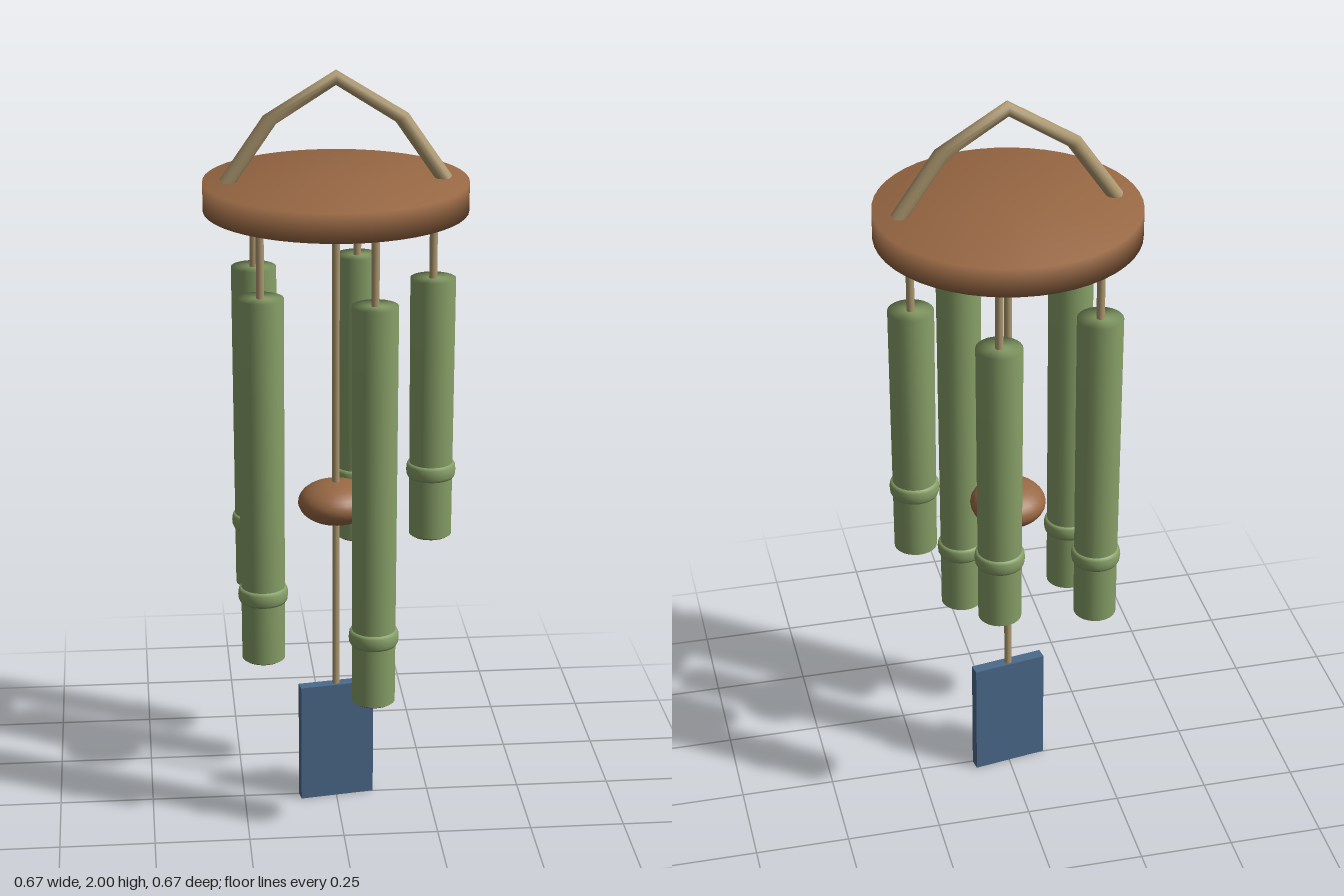
import * as THREE from 'three';
import { mergeVertices } from 'three/addons/utils/BufferGeometryUtils.js';

const material = (name, color) => {
  const m = new THREE.MeshStandardMaterial({ color });
  m.name = name;
  return m;
};

// Closed cylinder between two heights, with normals blended softly over its rims
function softCylinder(rTop, rBottom, yTop, yBottom, sides) {
  const g = new THREE.CylinderGeometry(rTop, rBottom, yTop - yBottom, sides);
  g.translate(0, (yTop + yBottom) / 2, 0);
  g.deleteAttribute('normal');
  g.deleteAttribute('uv');
  const soft = mergeVertices(g);
  soft.computeVertexNormals();
  return soft;
}

export function createModel() {
  const wood = material('wood', 0x986844);
  const bamboo = material('bamboo', 0x879f67);
  const rope = material('rope', 0xae9970);
  const hollow = material('dark hollow', 0x5a3028);
  const blue = material('blue sail', 0x4b6a8b);

  const model = new THREE.Group();
  model.name = 'windChime';
  const add = (parent, name, geometry, mat) => {
    const mesh = new THREE.Mesh(geometry, mat);
    mesh.name = name;
    parent.add(mesh);
    return mesh;
  };

  // Round top board
  add(model, 'topBoard', softCylinder(0.337, 0.337, 1.72, 1.645, 48), wood);

  // Bent hanger: four straight lengths of equal size
  const points = [[-0.278, 1.715], [-0.165, 1.879], [0, 1.981], [0.165, 1.879], [0.278, 1.715]]
    .map(([x, y]) => new THREE.Vector3(x, y, 0));
  const path = new THREE.CurvePath();
  for (let i = 0; i < 4; i++) path.add(new THREE.LineCurve3(points[i], points[i + 1]));
  add(model, 'hanger', new THREE.TubeGeometry(path, 4, 0.0195, 12), rope);

  // Centre cord, striker and wind sail
  add(model, 'centreCord', softCylinder(0.01, 0.01, 1.65, 0.32, 10), rope);
  const striker = add(model, 'striker', new THREE.SphereGeometry(0.1, 28, 18), wood);
  striker.scale.y = 0.57;
  striker.position.y = 0.853;
  const sail = add(model, 'windSail', new THREE.BoxGeometry(0.2, 0.33, 0.031), blue);
  sail.position.y = 0.165;
  sail.rotation.y = 0.16;

  // Rounded bamboo node ring
  const ringProfile = [[0.05, -0.021], [0.06, -0.02], [0.0635, -0.013], [0.065, 0],
    [0.0635, 0.013], [0.06, 0.02], [0.05, 0.021]].map(([r, y]) => new THREE.Vector2(r, y));
  const ringGeometry = new THREE.LatheGeometry(ringProfile, 24);

  // Five bamboo pipes of different lengths around the centre
  [0.758, 0.39, 0.482, 0.574, 0.666].forEach((bottom, i) => {
    const angle = (i * Math.PI * 2) / 5;
    const chime = new THREE.Group();
    chime.name = `chime${i + 1}`;
    chime.position.set(0.25 * Math.cos(angle), 0, 0.25 * Math.sin(angle));
    add(chime, 'cord', softCylinder(0.0105, 0.0105, 1.65, 1.45, 10), rope);
    add(chime, 'pipe', softCylinder(0.059, 0.056, 1.458, bottom, 24), bamboo);
    add(chime, 'nodeRing', ringGeometry, bamboo).position.y = bottom + 0.18;
    add(chime, 'pipeOpening', new THREE.CylinderGeometry(0.05, 0.05, 0.006, 24), hollow)
      .position.y = bottom - 0.001;
    model.add(chime);
  });

  return model;
}
